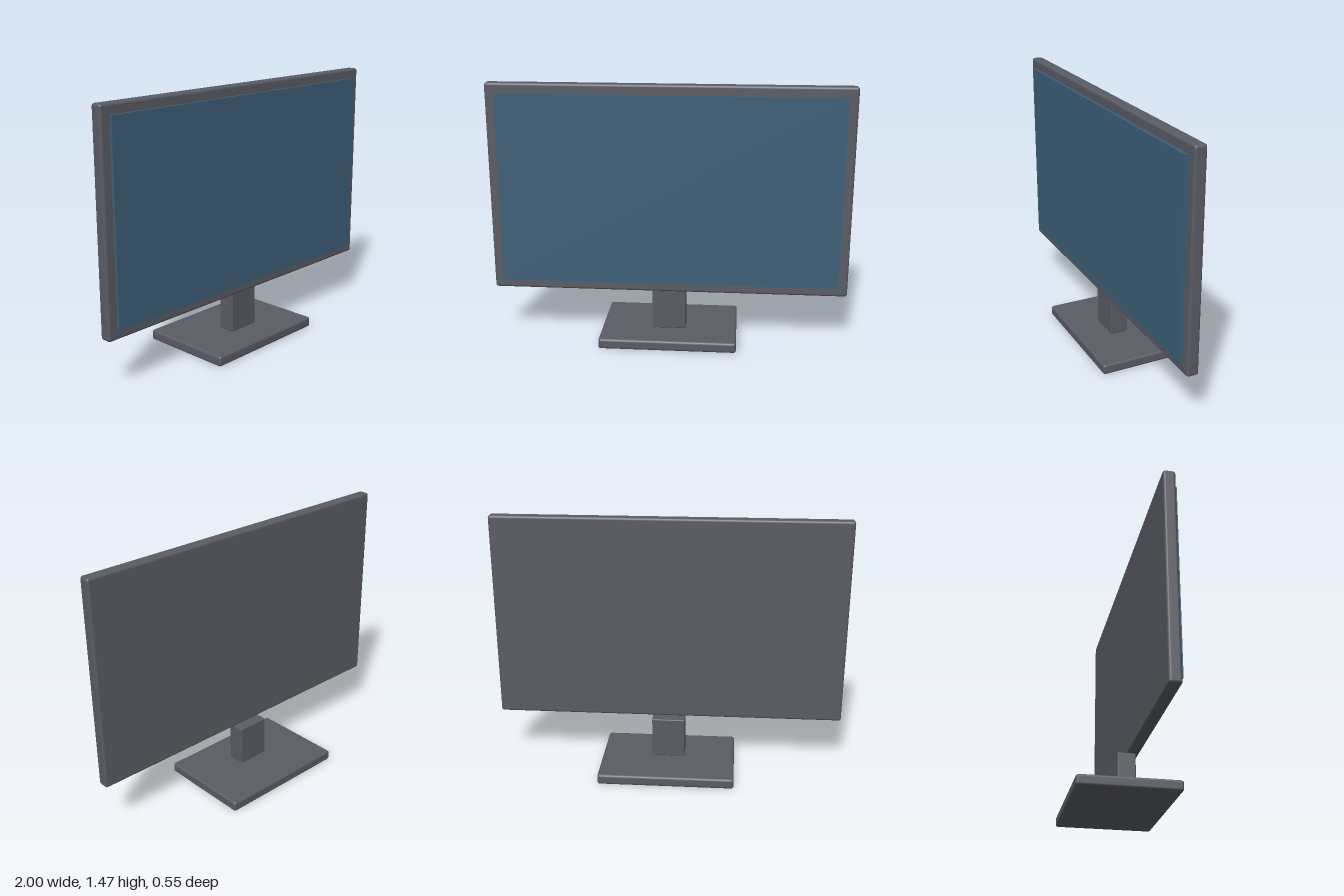
import * as THREE from 'three';
import { RoundedBoxGeometry } from 'three/addons/geometries/RoundedBoxGeometry.js';

const casing = new THREE.MeshStandardMaterial({ color: 0x5a5c64 });
const glass = new THREE.MeshStandardMaterial({ color: 0x3d5f78 });

// Box given by its lower and upper corners, with optional rounded edges
function addBox(group, name, material, min, max, radius = 0) {
  const size = max.map((v, i) => v - min[i]);
  const geometry = radius
    ? new RoundedBoxGeometry(...size, 3, radius)
    : new THREE.BoxGeometry(...size);
  const mesh = new THREE.Mesh(geometry, material);
  mesh.name = name;
  mesh.position.set(...max.map((v, i) => (v + min[i]) / 2));
  group.add(mesh);
}

export function createModel() {
  const monitor = new THREE.Group();
  monitor.name = 'monitor';

  // Stand
  addBox(monitor, 'base', casing, [-0.387, 0, -0.273], [0.387, 0.059, 0.273], 0.014);
  addBox(monitor, 'neck', casing, [-0.095, 0.059, -0.01], [0.095, 0.293, 0.09], 0.006);

  // Display
  addBox(monitor, 'panelHousing', casing, [-1, 0.293, 0.046], [1, 1.47, 0.112], 0.014);
  addBox(monitor, 'screen', glass, [-0.946, 0.348, 0.1], [0.946, 1.415, 0.129]);

  return monitor;
}
